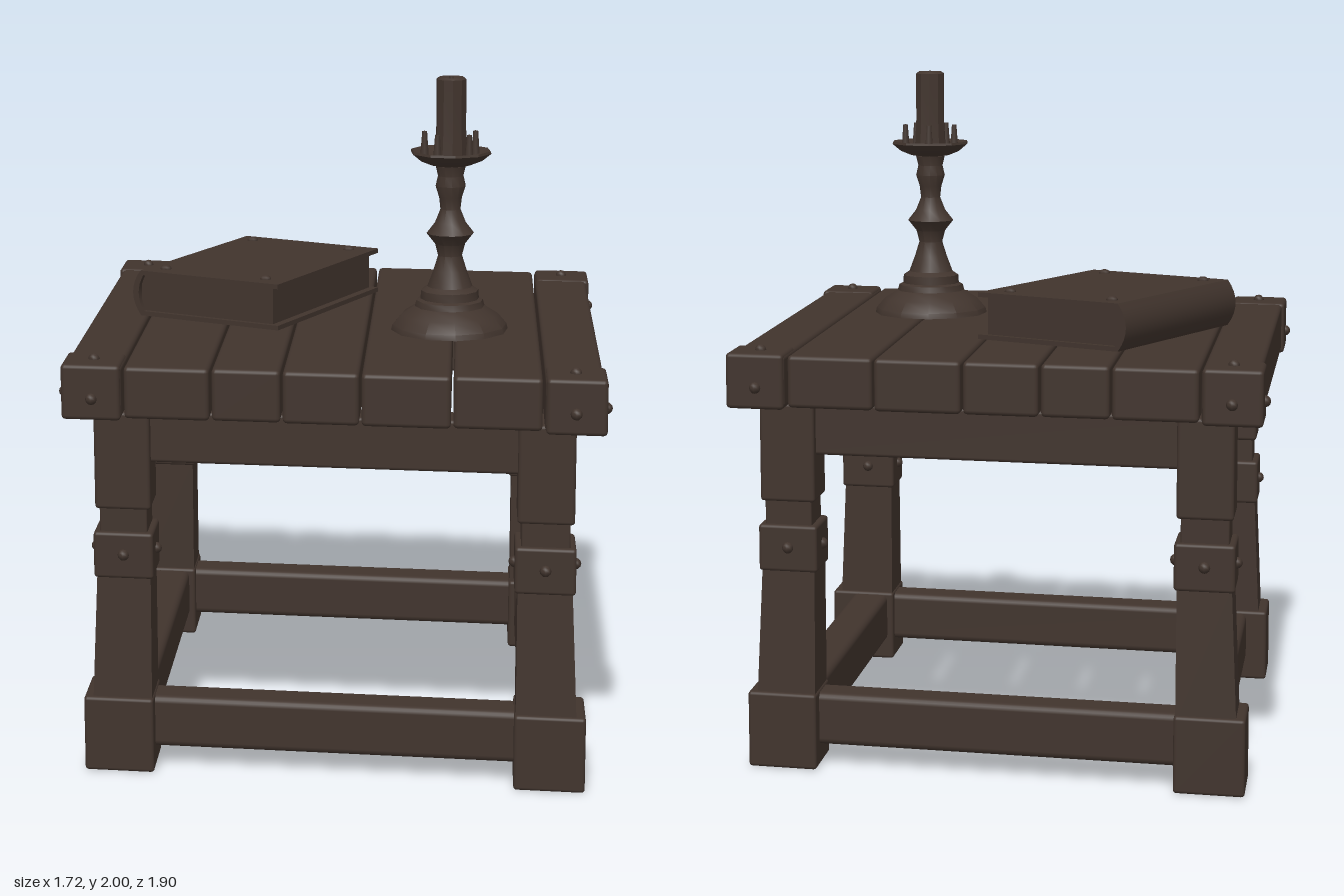
import * as THREE from 'three';
import { toCreasedNormals } from 'three/addons/utils/BufferGeometryUtils.js';
import { RoundedBoxGeometry } from 'three/addons/geometries/RoundedBoxGeometry.js';

const darkWood = new THREE.MeshStandardMaterial({ color: 0x41342d });
darkWood.name = 'dark brown';

// The table is turned and slightly skewed in plan: u runs across, v runs front to back.
const skew = new THREE.Matrix4().set(
  0.98, 0, -0.113, 0,
  0, 1, 0, 0,
  0.2, 0, 0.994, 0,
  0, 0, 0, 1);

function addMesh(parent, name, geometry) {
  const mesh = new THREE.Mesh(geometry, darkWood);
  mesh.name = name;
  parent.add(mesh);
  return mesh;
}

// Bevelled block from y0 to y1, centred on (u, v), skewed with the table
function block(parent, name, u, v, y0, y1, w, d, bevel = 0.01) {
  const g = new RoundedBoxGeometry(w, y1 - y0, d, 2, bevel);
  g.translate(u, (y0 + y1) / 2, v).applyMatrix4(skew);
  return addMesh(parent, name, g);
}

function stud(parent, u, y, v) {
  const g = new THREE.SphereGeometry(0.017, 8, 6);
  g.translate(u, y, v).applyMatrix4(skew);
  addMesh(parent, 'stud', g);
}

// Square tapered post; the centre may lean outwards at the foot
function taperedPost(parent, su, sv, y0, y1, w0, w1) {
  const g = new THREE.BoxGeometry(1, y1 - y0, 1);
  const p = g.attributes.position;
  for (let i = 0; i < p.count; i++) {
    const low = p.getY(i) < 0;
    const w = low ? w0 : w1;
    p.setXYZ(i,
      su * (low ? 0.622 : 0.613) + p.getX(i) * w,
      low ? y0 : y1,
      sv * (low ? 0.65 : 0.642) + p.getZ(i) * w);
  }
  g.computeVertexNormals();
  g.applyMatrix4(skew);
  addMesh(parent, 'legShaft', g);
}

function makeLeg(su, sv) {
  const leg = new THREE.Group();
  leg.name = 'leg';
  const u = su * 0.613, v = sv * 0.642;
  block(leg, 'foot', su * 0.633, sv * 0.652, 0, 0.227, 0.207, 0.2);
  taperedPost(leg, su, sv, 0.2, 0.6, 0.176, 0.158);
  block(leg, 'collar', u, v, 0.588, 0.726, 0.176, 0.176);
  block(leg, 'neck', u, v, 0.7, 0.82, 0.14, 0.14, 0.005);
  block(leg, 'legTop', u, v, 0.795, 1.085, 0.164, 0.164);
  for (const s of [-1, 1]) {
    stud(leg, u + s * 0.088, 0.66, v);
    stud(leg, u, 0.66, v + s * 0.088);
  }
  return leg;
}

function makeTable() {
  const table = new THREE.Group();
  table.name = 'table';

  // Planks with narrow gaps
  const seams = [-0.772, -0.6, -0.347, -0.143, 0.082, 0.342, 0.6, 0.772];
  const lengths = [1.585, 1.575, 1.565, 1.575, 1.58, 1.565, 1.585];
  lengths.forEach((len, i) => {
    const w = seams[i + 1] - seams[i];
    block(table, 'plank', seams[i] + w / 2, 0, 1.082, 1.234, w - 0.007, len, 0.013);
  });

  for (const s of [-1, 1]) {
    // Aprons under the top and stretchers between the feet
    block(table, 'frontBackApron', 0, s * 0.64, 0.932, 1.085, 1.15, 0.11);
    block(table, 'sideApron', s * 0.605, 0, 0.932, 1.085, 0.11, 1.2);
    block(table, 'frontBackStretcher', 0, s * 0.64, 0.063, 0.219, 1.15, 0.12, 0.02);
    block(table, 'sideStretcher', s * 0.61, 0, 0.063, 0.219, 0.12, 1.2, 0.02);

    // Legs and studded corner caps
    for (const t of [-1, 1]) {
      table.add(makeLeg(s, t));
      block(table, 'cornerCap', s * 0.692, t * 0.712, 1.077, 1.238, 0.172, 0.172, 0.012);
      stud(table, s * 0.69, 1.238, t * 0.711);
      stud(table, s * 0.778, 1.14, t * 0.711);
      stud(table, s * 0.69, 1.14, t * 0.798);
    }
  }
  return table;
}

function makeBook() {
  const book = new THREE.Group();
  book.name = 'book';
  const W = 0.25, D = 0.332, H = 0.14, c = 0.014;

  // Cover: C-shaped section with a rounded spine, run along the book's length
  const s = new THREE.Shape();
  s.moveTo(W, 0);
  s.lineTo(W, c);
  s.lineTo(-W + 0.03, c);
  s.quadraticCurveTo(-W - 0.005, H / 2, -W + 0.03, H - c);
  s.lineTo(W, H - c);
  s.lineTo(W, H);
  s.lineTo(-W + 0.02, H);
  s.quadraticCurveTo(-W - 0.035, H / 2, -W + 0.02, 0);
  const cover = new THREE.ExtrudeGeometry(s, { depth: 2 * D, bevelEnabled: false, curveSegments: 8 });
  addMesh(book, 'cover', toCreasedNormals(cover.translate(0, 0, -D), 0.6));

  // Page block, set in from the cover
  const pages = new THREE.BoxGeometry(2 * W - 0.04, H - 2 * c + 0.004, 2 * D - 0.03);
  addMesh(book, 'pages', pages.translate(-0.005, H / 2, 0));

  for (const i of [-1, 1]) for (const j of [-1, 1]) {
    const m = addMesh(book, 'coverStud', new THREE.SphereGeometry(0.018, 8, 6));
    m.position.set(i * 0.175, H, j * 0.272);
    m.scale.y = 0.7;
  }
  book.position.set(-0.252, 1.238, -0.19);
  book.rotation.y = -0.55;
  return book;
}

function makeCandlestick() {
  const stick = new THREE.Group();
  stick.name = 'candlestick';
  const lathe = (name, pts, sides) => addMesh(stick, name, toCreasedNormals(
    new THREE.LatheGeometry(pts.map(([r, y]) => new THREE.Vector2(r, y)), sides), 0.6));

  // Base and turned stem
  lathe('stem', [
    [0, 1.234], [0.176, 1.24], [0.172, 1.256], [0.145, 1.287], [0.105, 1.312], [0.1, 1.33],
    [0.088, 1.335], [0.086, 1.36], [0.068, 1.372], [0.05, 1.42], [0.036, 1.465], [0.045, 1.5],
    [0.071, 1.533], [0.046, 1.565], [0.03, 1.605], [0.034, 1.64], [0.045, 1.675],
    [0.038, 1.705], [0.045, 1.735], [0, 1.745]], 12);
  // Drip dish
  lathe('dish', [
    [0, 1.73], [0.06, 1.738], [0.095, 1.752], [0.122, 1.774], [0.12, 1.781],
    [0.085, 1.765], [0, 1.76]], 10);
  // Candle with a slightly hollow top
  lathe('candle', [
    [0, 1.755], [0.05, 1.76], [0.045, 1.85], [0.045, 1.992], [0.037, 1.998], [0, 1.985]], 10);
  const wick = addMesh(stick, 'wick', new THREE.CylinderGeometry(0.006, 0.008, 0.02, 6));
  wick.position.y = 1.99;

  // Ring of small prongs on the dish
  for (let i = 0; i < 5; i++) {
    const a = Math.PI * (-0.5 + i * 0.4);
    const prong = addMesh(stick, 'prong', new THREE.CylinderGeometry(0.008, 0.014, 0.075, 6));
    prong.position.set(Math.cos(a) * 0.08, 1.797, Math.sin(a) * 0.08);
  }
  stick.position.set(0.302, 0, 0.243);
  return stick;
}

export function createModel() {
  const model = new THREE.Group();
  model.name = 'tableWithBookAndCandlestick';
  model.add(makeTable(), makeBook(), makeCandlestick());
  return model;
}
